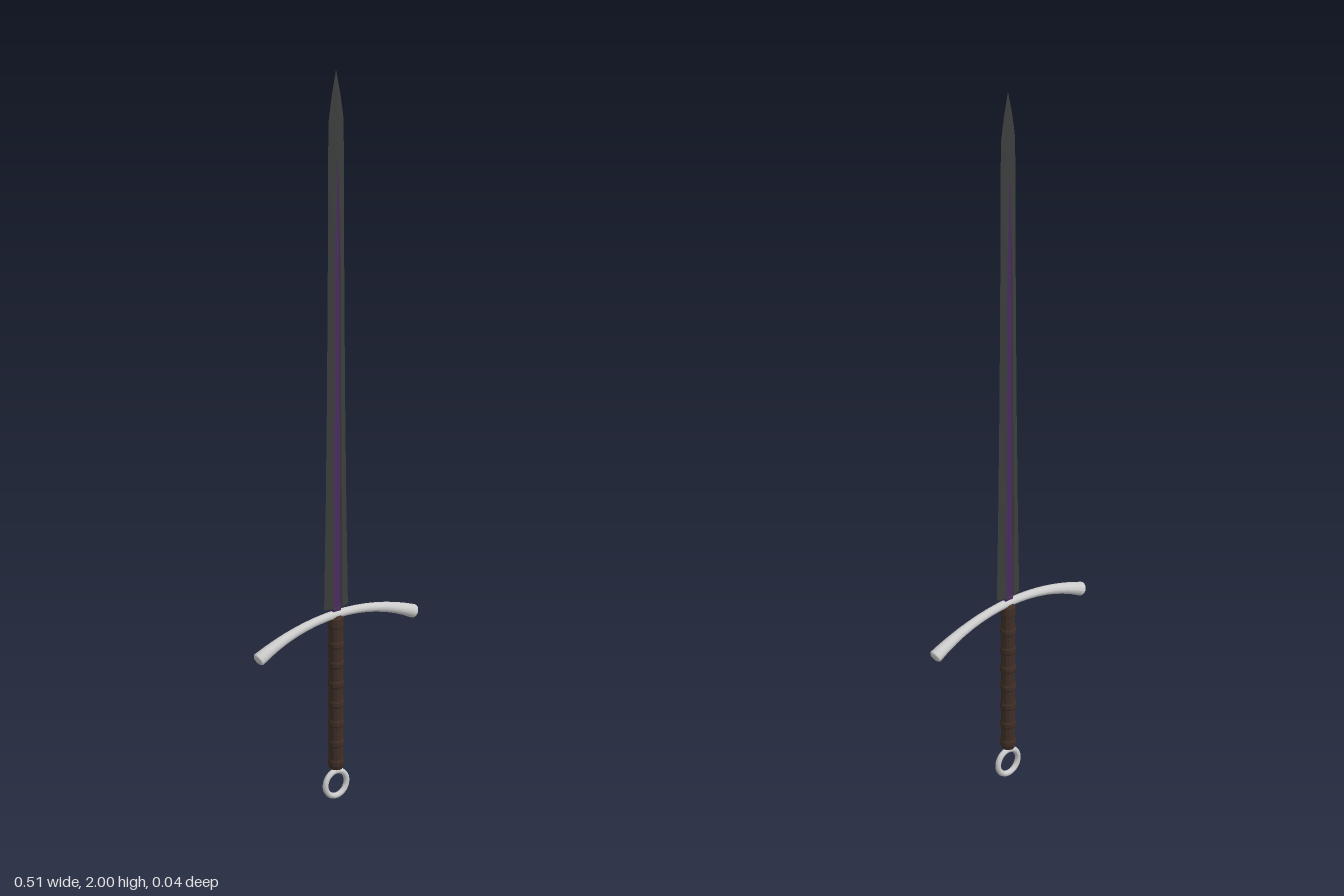
import * as THREE from 'three';

const mat = (color, flatShading = false) =>
  new THREE.MeshStandardMaterial({ color, flatShading, side: THREE.DoubleSide });

function part(name, geometry, material, parent) {
  const mesh = new THREE.Mesh(geometry, material);
  mesh.name = name;
  parent.add(mesh);
  return mesh;
}

// Joins equal-length rows of points (right to left, rows going up) into faces
function loft(rows) {
  const pos = [];
  for (let i = 0; i < rows.length - 1; i++) {
    for (let j = 0; j < rows[i].length - 1; j++) {
      const a = rows[i][j], b = rows[i][j + 1], c = rows[i + 1][j + 1], d = rows[i + 1][j];
      pos.push(...a, ...c, ...b, ...a, ...d, ...c);
    }
  }
  const g = new THREE.BufferGeometry();
  g.setAttribute('position', new THREE.Float32BufferAttribute(pos, 3));
  g.computeVertexNormals();
  return g;
}

const lathe = (profile, segments) =>
  new THREE.LatheGeometry(profile.map(([r, y]) => new THREE.Vector2(r, y)), segments);

// Blade: diamond section with a coloured fuller on both faces
function createBlade() {
  const blade = new THREE.Group();
  blade.name = 'blade';
  const steel = mat(0x3c3e3e, true), purple = mat(0x4a2a60, true);
  // height, half width, half thickness, fuller half width
  const sections = [
    [0.525, 0.038, 0.009, 0.013], [0.8, 0.033, 0.0085, 0.012], [1.1, 0.029, 0.008, 0.010],
    [1.5, 0.026, 0.007, 0.008], [1.78, 0.025, 0.006, 0], [1.86, 0.024, 0.0055, 0],
    [1.93, 0.014, 0.004, 0], [2, 0, 0, 0],
  ];
  const rows = fn => sections.map(([y, w, d, f]) =>
    fn(w, d, f, f * 0.8, d - f * 0.3).map(([x, z]) => [x, y, z]));
  const right = loft(rows((w, d, f, g, h) => [[w, 0], [f, d], [g, h]]));
  const left = loft(rows((w, d, f, g, h) => [[-g, h], [-f, d], [-w, 0]]));
  const groove = loft(rows((w, d, f, g, h) => [[g, h], [-g, h]]).slice(0, 5));
  for (const turn of [0, Math.PI]) {
    const face = new THREE.Group();
    face.name = turn ? 'backFace' : 'frontFace';
    face.rotation.y = turn;
    part('rightBevel', right, steel, face);
    part('leftBevel', left, steel, face);
    part('fuller', groove, purple, face);
    blade.add(face);
  }

  // Underside of the shoulders and the tang running into the guard
  const [y, w, d, f] = sections[0];
  const outline = [[w, 0], [f, d], [-f, d], [-w, 0], [-f, -d], [f, -d]];
  const shoulder = new THREE.ShapeGeometry(new THREE.Shape(outline.map(p => new THREE.Vector2(...p))));
  shoulder.rotateX(Math.PI / 2);
  part('shoulder', shoulder, steel, blade).position.y = y;
  part('tang', new THREE.BoxGeometry(0.024, 0.03, 0.01), purple, blade).position.y = 0.513;
  return blade;
}

// Crossguard: a flared round bar bent downward along an arc
function createGuard() {
  const R = 0.55, L = 0.26, top = 0.505, n = 16;
  const profile = [[0, -L], [0.014, -L]];
  for (let i = 0; i <= n; i++) {
    const t = (i / n) * 2 - 1;
    profile.push([0.0108 + 0.0068 * Math.abs(t) ** 2.5, t * (L - 0.004)]);
  }
  profile.push([0.014, L], [0, L]);
  const g = lathe(profile, 20);
  const p = g.attributes.position;
  for (let i = 0; i < p.count; i++) {
    const r = R + p.getX(i), a = p.getY(i) / R;
    p.setXYZ(i, r * Math.sin(a), top - R + r * Math.cos(a), -p.getZ(i));
  }
  g.computeVertexNormals();
  return g;
}

// Grip: wrapped handle with raised bands
function createGrip() {
  const profile = [[0, 0.083], [0.016, 0.083], [0.019, 0.09]];
  const bands = 7, y0 = 0.095, step = 0.054;
  for (let i = 0; i < bands; i++) {
    const y = y0 + i * step;
    profile.push([0.0205, y], [0.0205, y + 0.01], [0.0185, y + 0.015], [0.0185, y + step - 0.005]);
  }
  profile.push([0.02, 0.475], [0.019, 0.495], [0.013, 0.503], [0, 0.503]);
  return lathe(profile, 12);
}

export function createModel() {
  const sword = new THREE.Group();
  sword.name = 'sword';
  const metal = mat(0xcccccc);
  sword.add(createBlade());
  part('crossguard', createGuard(), metal, sword);
  part('grip', createGrip(), mat(0x3f2e26, true), sword);

  // Ring pommel
  part('pommelRing', new THREE.TorusGeometry(0.0335, 0.0075, 12, 32), metal, sword).position.y = 0.041;
  return sword;
}
